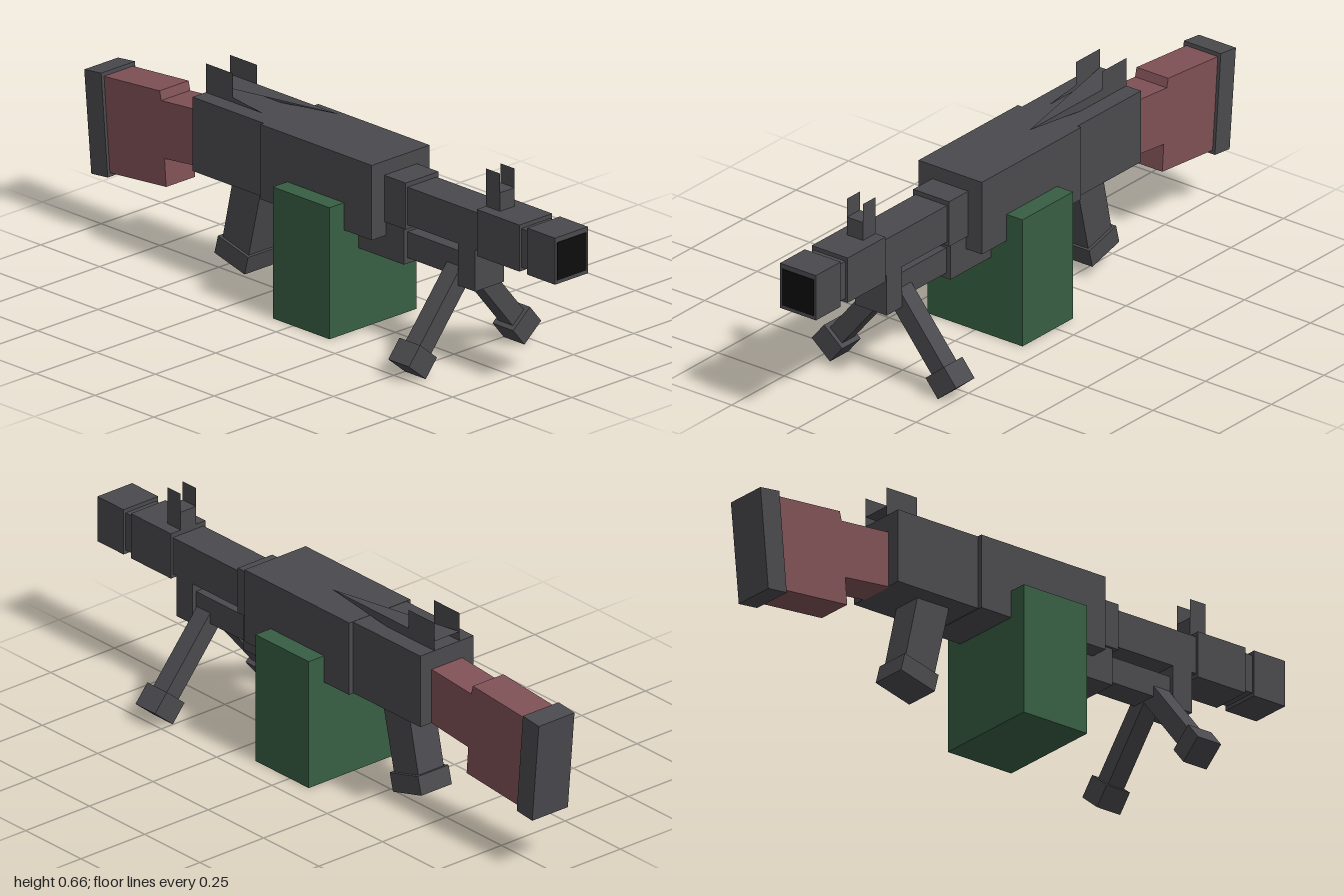
import * as THREE from 'three';

const mat = (name, color, side = THREE.FrontSide) => {
  const m = new THREE.MeshStandardMaterial({ color, side });
  m.name = name;
  return m;
};

export function createModel() {
  const root = new THREE.Group();
  root.name = 'blockyMachineGun';
  const metal = mat('gunmetal grey', 0x4a494d, THREE.DoubleSide);
  const green = mat('ammo box green', 0x375e43);
  const wood = mat('reddish wood', 0x7f5155);
  const black = mat('bore black', 0x0d0d0d);

  const add = (name, geometry, material, parent = root) => {
    const mesh = new THREE.Mesh(geometry, material);
    mesh.name = name;
    parent.add(mesh);
    return mesh;
  };

  // box from its x and y limits, centred on z = 0 with half depth hz
  const block = (name, x0, x1, y0, y1, hz, material = metal) => {
    const mesh = add(name, new THREE.BoxGeometry(x1 - x0, y1 - y0, 2 * hz), material);
    mesh.position.set((x0 + x1) / 2, (y0 + y1) / 2, 0);
    return mesh;
  };

  // side outline extruded symmetrically across z
  const slab = (name, points, hz, material = metal) => {
    const shape = new THREE.Shape(points.map(([x, y]) => new THREE.Vector2(x, y)));
    const geometry = new THREE.ExtrudeGeometry(shape, { depth: 2 * hz, bevelEnabled: false });
    return add(name, geometry.translate(0, 0, -hz), material);
  };

  // stock with butt plate
  slab('buttPlate', [[-1, 0.513], [-0.97, 0.19], [-0.9, 0.197], [-0.928, 0.521]], 0.07);
  slab('stock', [
    [-0.926, 0.509], [-0.902, 0.209], [-0.662, 0.23], [-0.669, 0.318],
    [-0.5, 0.336], [-0.5, 0.514], [-0.683, 0.499], [-0.69, 0.528],
  ], 0.06, wood);

  // receiver
  block('rearReceiver', -0.504, -0.2, 0.337, 0.572, 0.105);
  block('frontReceiver', -0.2, 0.273, 0.335, 0.573, 0.12);

  // pistol grip
  slab('grip', [[-0.385, 0.345], [-0.435, 0.12], [-0.325, 0.09], [-0.265, 0.345]], 0.05);
  slab('gripCap', [[-0.442, 0.136], [-0.457, 0.078], [-0.329, 0.044], [-0.314, 0.102]], 0.06);

  // ammunition box
  block('ammoBox', -0.086, 0.155, 0.004, 0.422, 0.18, green);

  // barrel
  block('barrelCollar', 0.27, 0.364, 0.38, 0.528, 0.068);
  block('barrel', 0.36, 0.67, 0.393, 0.513, 0.06);
  block('muzzleSleeve', 0.666, 0.847, 0.38, 0.528, 0.068);
  block('muzzleNeck', 0.845, 0.882, 0.392, 0.515, 0.06);
  block('muzzle', 0.88, 0.998, 0.38, 0.528, 0.068);
  block('bore', 0.996, 1, 0.392, 0.512, 0.06, black);

  // parts under the barrel
  block('handguard', 0.15, 0.348, 0.262, 0.385, 0.06);
  block('gasTube', 0.345, 0.58, 0.28, 0.363, 0.045);
  block('gasBlock', 0.578, 0.651, 0.26, 0.396, 0.06);

  // front sight base, and paired blades for both sights
  block('frontSightBase', 0.666, 0.726, 0.526, 0.587, 0.03);
  const blades = (name, x0, x1, y0, y1, z) => {
    for (const side of [-1, 1]) {
      const blade = add(name, new THREE.PlaneGeometry(x1 - x0, y1 - y0), metal);
      blade.position.set((x0 + x1) / 2, (y0 + y1) / 2, side * z);
    }
  };
  blades('frontSightBlade', 0.666, 0.726, 0.585, 0.648, 0.03);
  blades('rearSightBlade', -0.504, -0.388, 0.57, 0.664, 0.05);

  // thin folded feed cover: flat top, low near wall, raised far wall
  const a = [-0.504, 0.603, 0.05], b = [-0.04, 0.603, -0.05], d = [-0.504, 0.603, -0.05];
  const cover = new THREE.BufferGeometry();
  cover.setAttribute('position', new THREE.Float32BufferAttribute([
    a, b, d,
    a, [-0.504, 0.57, 0.05], [-0.25, 0.57, 0.05],
    d, [-0.504, 0.545, -0.05], b,
  ].flat(), 3));
  cover.computeVertexNormals();
  add('feedCover', cover, metal);

  // splayed bipod
  for (const side of [-1, 1]) {
    const leg = new THREE.Group();
    leg.name = side > 0 ? 'frontBipodLeg' : 'rearBipodLeg';
    leg.position.set(0.545, 0.322, 0);
    leg.rotation.x = -side * 0.69;
    add('legBar', new THREE.BoxGeometry(0.06, 0.33, 0.06), metal, leg).position.y = -0.165;
    add('foot', new THREE.BoxGeometry(0.088, 0.073, 0.09), metal, leg).position.y = -0.339;
    root.add(leg);
  }

  return root;
}
